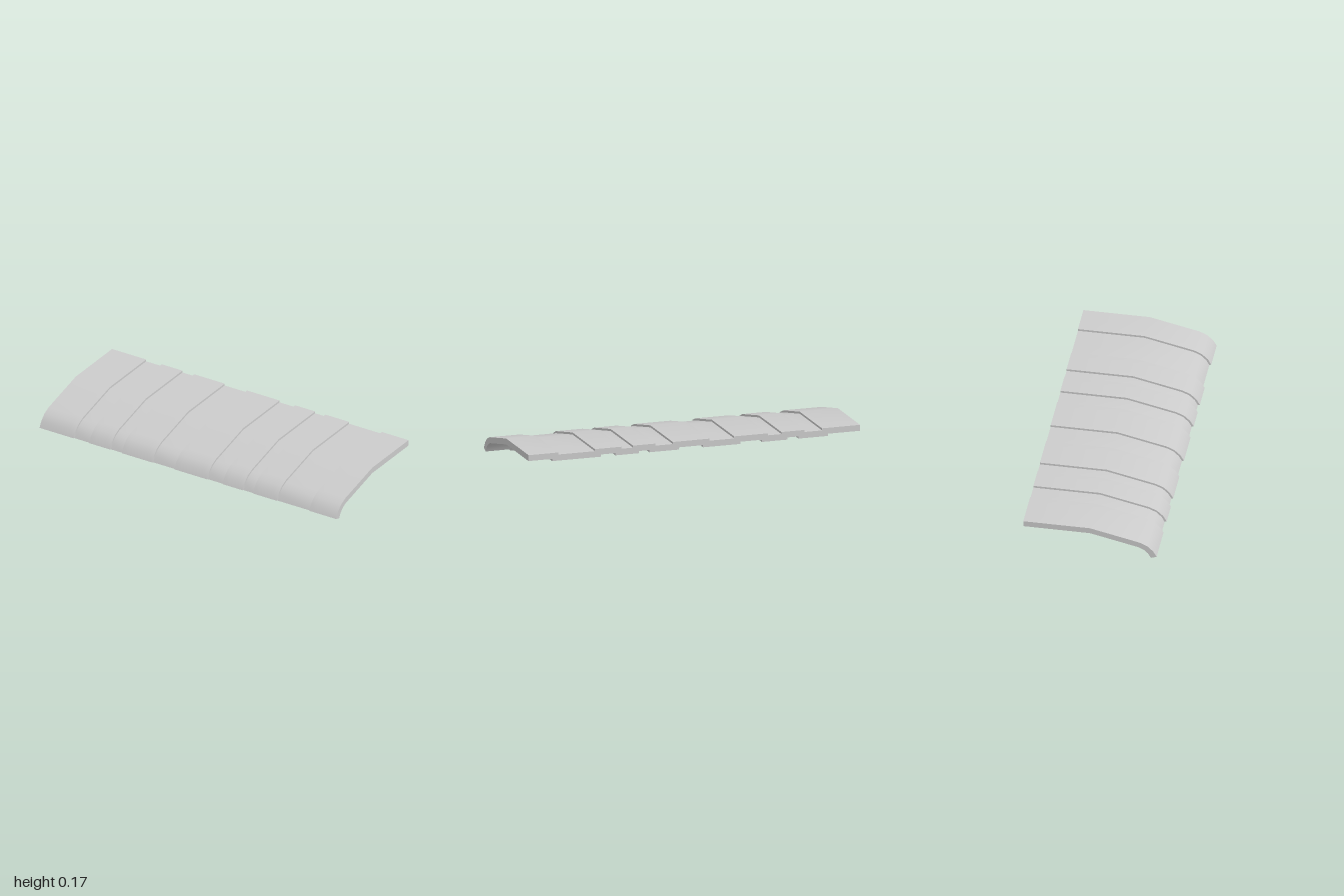
import * as THREE from 'three';
import { toCreasedNormals } from 'three/addons/utils/BufferGeometryUtils.js';

// Side profile of the panel as [z, y], back to front: highest skin and lowest skin
const OUTER = [[-0.385, 0.171], [0, 0.171], [0.285, 0.106], [0.33, 0.086], [0.365, 0.053], [0.385, 0.017]];
const INNER = [[-0.385, 0.123], [0, 0.123], [0.28, 0.059], [0.305, 0.046], [0.325, 0.027], [0.34, 0]];

// Grooves across the width, as [from, to] in x
const GROOVES = [[-0.77, -0.665], [-0.525, -0.445], [-0.24, -0.09], [0.13, 0.235], [0.37, 0.44], [0.6, 0.82]];
const WALL = 0.037; // extra width of each groove on the underside

// Depth through the panel: 0 is the outer profile, 1 the inner one
const TOP = { raised: 0, sunk: 0.25 };
const BOTTOM = { raised: 0.73, sunk: 1 };

const inGroove = (x, extra) => GROOVES.some(([a, b]) => x > a - extra && x < b + extra);

function corrugatedGeometry() {
  const positions = [];
  const point = (x, k, t) => [
    x,
    THREE.MathUtils.lerp(OUTER[k][1], INNER[k][1], t),
    THREE.MathUtils.lerp(OUTER[k][0], INNER[k][0], t),
  ];
  const quad = (a, b, c, d) => positions.push(...a, ...b, ...c, ...a, ...c, ...d);
  const last = OUTER.length - 1;

  // Wall at x between two depths, facing +x or -x
  const wall = (x, t0, t1, facing) => {
    if (t0 === t1) return;
    for (let k = 0; k < last; k++) {
      const q = [point(x, k, t0), point(x, k + 1, t0), point(x, k + 1, t1), point(x, k, t1)];
      quad(...(facing > 0 ? q : q.reverse()));
    }
  };

  const xs = [-1, 1, ...GROOVES.flatMap(([a, b]) => [a - WALL, a, b, b + WALL])].sort((a, b) => a - b);
  const columns = xs.slice(1).map((x1, i) => {
    const x0 = xs[i], mid = (x0 + x1) / 2;
    return {
      x0, x1,
      top: inGroove(mid, 0) ? TOP.sunk : TOP.raised,
      bottom: inGroove(mid, WALL) ? BOTTOM.sunk : BOTTOM.raised,
    };
  });

  columns.forEach(({ x0, x1, top, bottom }, i) => {
    // Upper and lower skins
    for (let k = 0; k < last; k++) {
      quad(point(x0, k, top), point(x0, k + 1, top), point(x1, k + 1, top), point(x1, k, top));
      quad(point(x0, k, bottom), point(x1, k, bottom), point(x1, k + 1, bottom), point(x0, k + 1, bottom));
    }
    // Front lip and back edge
    quad(point(x0, last, top), point(x0, last, bottom), point(x1, last, bottom), point(x1, last, top));
    quad(point(x0, 0, top), point(x1, 0, top), point(x1, 0, bottom), point(x0, 0, bottom));
    // Steps to the next column
    const next = columns[i + 1];
    if (!next) return;
    wall(x1, Math.min(top, next.top), Math.max(top, next.top), next.top > top ? 1 : -1);
    wall(x1, Math.min(bottom, next.bottom), Math.max(bottom, next.bottom), bottom > next.bottom ? 1 : -1);
  });

  // End faces
  wall(-1, TOP.raised, BOTTOM.raised, -1);
  wall(1, TOP.raised, BOTTOM.raised, 1);

  const geometry = new THREE.BufferGeometry();
  geometry.setAttribute('position', new THREE.Float32BufferAttribute(positions, 3));
  return toCreasedNormals(geometry, THREE.MathUtils.degToRad(30));
}

export function createModel() {
  const model = new THREE.Group();
  model.name = 'corrugatedAwning';
  const panel = new THREE.Mesh(corrugatedGeometry(), new THREE.MeshStandardMaterial({ color: 0xcccccc }));
  panel.name = 'corrugatedPanel';
  model.add(panel);
  return model;
}
